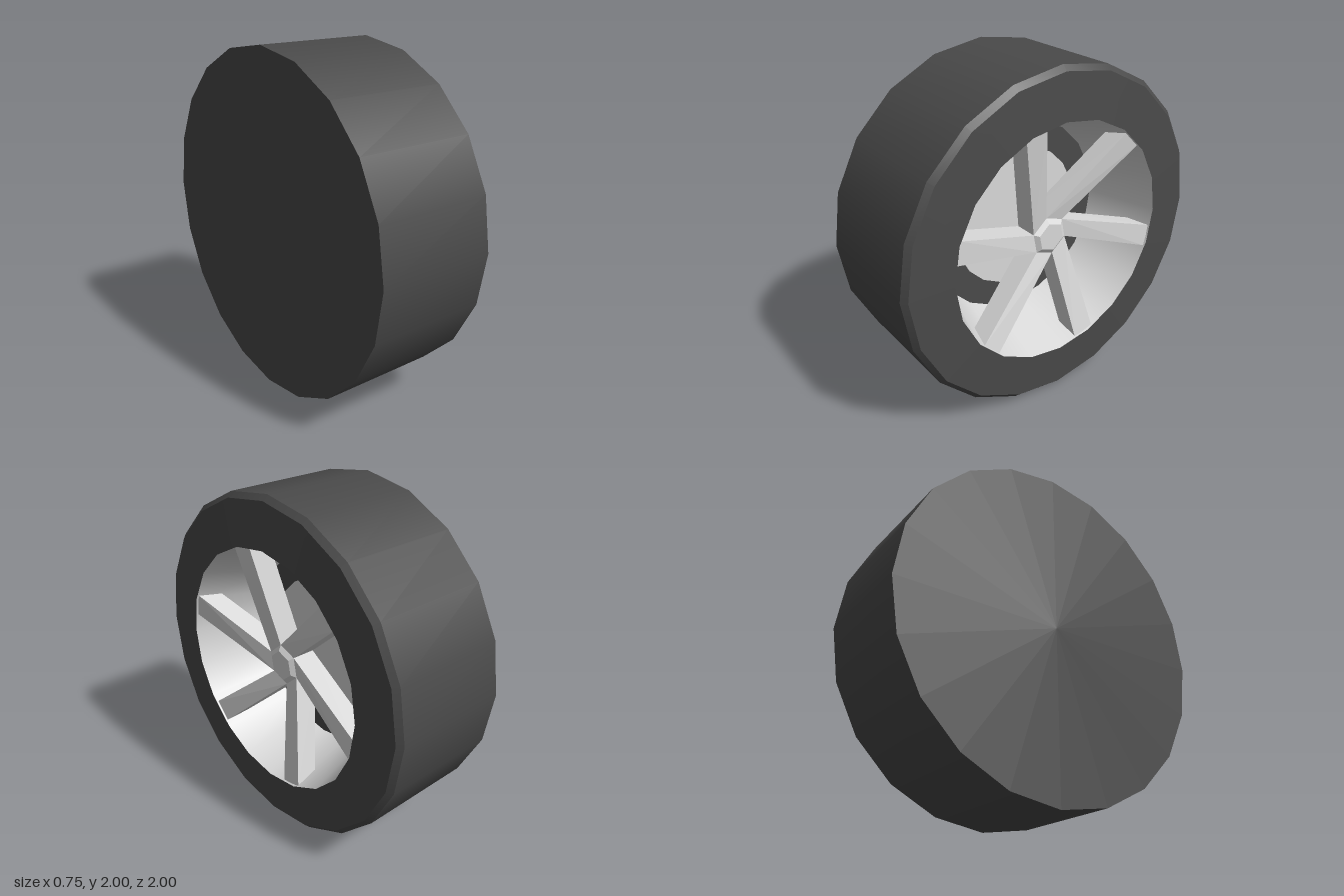
import * as THREE from 'three';

const SIDES = 20;
const rad = THREE.MathUtils.degToRad;

export function createModel() {
  const rubber = new THREE.MeshStandardMaterial({ color: 0x4a4a4a });
  rubber.name = 'dark rubber';
  const alloy = new THREE.MeshStandardMaterial({ color: 0xdadada });
  alloy.name = 'light alloy';

  // The wheel's axle runs along x, with its open face towards +x.
  const wheel = new THREE.Group();
  wheel.name = 'wheel';
  wheel.position.y = 1;

  function add(name, geometry, material, parent = wheel) {
    const mesh = new THREE.Mesh(geometry, material);
    mesh.name = name;
    parent.add(mesh);
    return mesh;
  }

  // One turned band per pair of [radius, x] points, so edges between bands stay sharp.
  function turned(name, profile, material) {
    const group = new THREE.Group();
    group.name = name;
    for (let i = 0; i < profile.length - 1; i++) {
      const points = [profile[i], profile[i + 1]].map(([r, x]) => new THREE.Vector2(r, x));
      const band = new THREE.LatheGeometry(points, SIDES);
      band.rotateZ(-Math.PI / 2);
      add(name + 'Band', band, material, group);
    }
    wheel.add(group);
  }

  // Tyre with closed back and bevelled shoulder
  turned('tyre', [[0, -0.38], [1, -0.38], [1, 0.33], [0.97, 0.36], [0.71, 0.375]], rubber);
  // Tapered rim, its dark inner wall and the brake disc
  turned('rim', [[0.71, 0.375], [0.59, -0.06]], alloy);
  turned('innerWall', [[0.59, -0.06], [0.42, -0.06]], rubber);
  turned('brakeDisc', [[0.43, -0.06], [0.43, -0.05], [0, -0.05]], alloy);

  // Hub: six-sided core with a raised, chamfered cap
  function hexPart(name, topRadius, bottomRadius, x0, x1) {
    const g = new THREE.CylinderGeometry(topRadius, bottomRadius, x1 - x0, 6, 1, false, rad(41));
    g.rotateZ(-Math.PI / 2);
    g.translate((x0 + x1) / 2, 0, 0);
    const flat = g.toNonIndexed();
    flat.computeVertexNormals();
    add(name, flat, alloy);
  }
  hexPart('hubCore', 0.119, 0.119, 0.11, 0.25);
  hexPart('hubCap', 0.088, 0.119, 0.25, 0.27);

  // Spoke: a swept bar from one hub face out to the rim
  function spokeGeometry() {
    const at = (r, deg, x) => [x, r * Math.sin(rad(deg)), -r * Math.cos(rad(deg))];
    const front = [at(0.119, 41, 0.25), at(0.119, -19, 0.25), at(0.705, -20, 0.365), at(0.705, -9, 0.365)];
    const back = [at(0.119, 41, 0.11), at(0.119, -19, 0.11), at(0.668, -20, 0.225), at(0.668, -9, 0.225)];
    const positions = [];
    const quad = (a, b, c, d) => positions.push(...a, ...b, ...c, ...a, ...c, ...d);
    quad(...front);
    quad(...[...back].reverse());
    for (let i = 0; i < 4; i++) {
      const j = (i + 1) % 4;
      quad(front[i], back[i], back[j], front[j]);
    }
    const g = new THREE.BufferGeometry();
    g.setAttribute('position', new THREE.Float32BufferAttribute(positions, 3));
    g.computeVertexNormals();
    return g;
  }
  const spoke = spokeGeometry();
  for (let i = 0; i < 6; i++) add('spoke', spoke, alloy).rotation.x = i * Math.PI / 3;

  const model = new THREE.Group();
  model.name = 'carWheel';
  model.add(wheel);
  return model;
}
